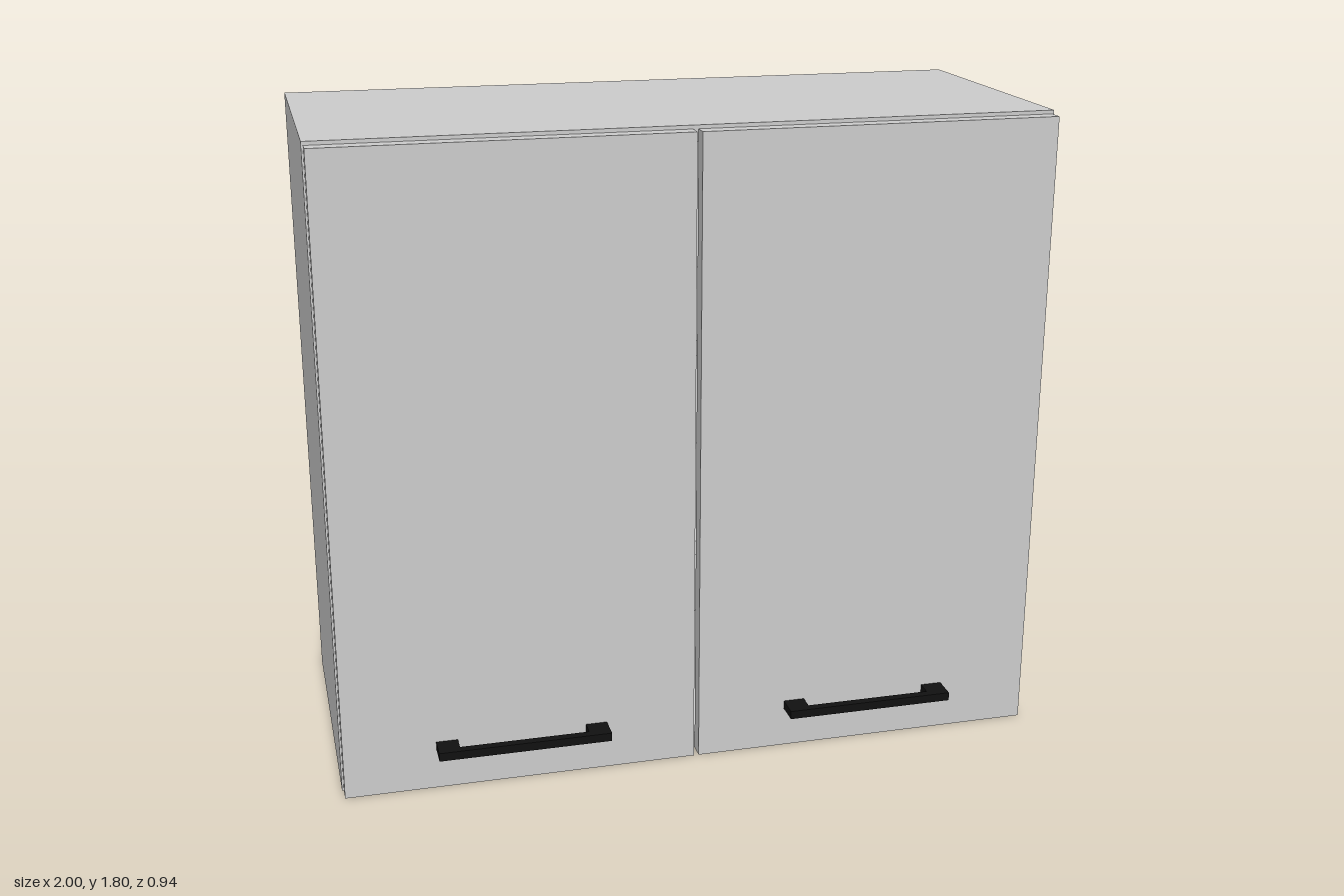
import * as THREE from 'three';

export function createModel() {
  const root = new THREE.Group();
  root.name = 'wallCabinet';
  const grey = new THREE.MeshStandardMaterial({ color: 0xcccccc });
  const black = new THREE.MeshStandardMaterial({ color: 0x111111 });

  // Box given by its lower and upper corners
  function panel(name, [x0, y0, z0], [x1, y1, z1]) {
    const mesh = new THREE.Mesh(new THREE.BoxGeometry(x1 - x0, y1 - y0, z1 - z0), grey);
    mesh.position.set((x0 + x1) / 2, (y0 + y1) / 2, (z0 + z1) / 2);
    mesh.name = name;
    root.add(mesh);
  }

  const H = 1.8, T = 0.043, back = -0.46, front = 0.355, inner = 1 - T;

  // Carcass
  panel('rightSide', [-1, 0, back], [-inner, H, front]);
  panel('leftSide', [inner, 0, back], [1, H, front]);
  panel('bottomPanel', [-inner, 0, back], [inner, T, front]);
  panel('topPanel', [-inner, H - T, back], [inner, H, front]);
  panel('backPanel', [-0.995, 0.005, -0.47], [0.995, H - 0.005, back]);

  // Shelves
  for (const y of [0.59, 1.172]) panel('shelf', [-inner, y, back], [inner, y + T, 0.33]);

  // Doors
  panel('rightDoor', [-0.995, 0, front + 0.001], [-0.007, 1.79, 0.4]);
  panel('leftDoor', [0.007, 0, front + 0.001], [0.995, 1.79, 0.4]);

  // Bracket handles: U outline in plan, extruded upward
  const outline = new THREE.Shape([
    [-0.24, 0], [-0.24, -0.067], [0.24, -0.067], [0.24, 0],
    [0.18, 0], [0.18, -0.043], [-0.18, -0.043], [-0.18, 0],
  ].map(([x, y]) => new THREE.Vector2(x, y)));
  const handleGeo = new THREE.ExtrudeGeometry(outline, { depth: 0.024, bevelEnabled: false });
  handleGeo.rotateX(-Math.PI / 2);
  for (const side of [-1, 1]) {
    const handle = new THREE.Mesh(handleGeo, black);
    handle.name = side < 0 ? 'rightHandle' : 'leftHandle';
    handle.position.set(side * 0.5, 0.116, 0.4);
    root.add(handle);
  }
  return root;
}
